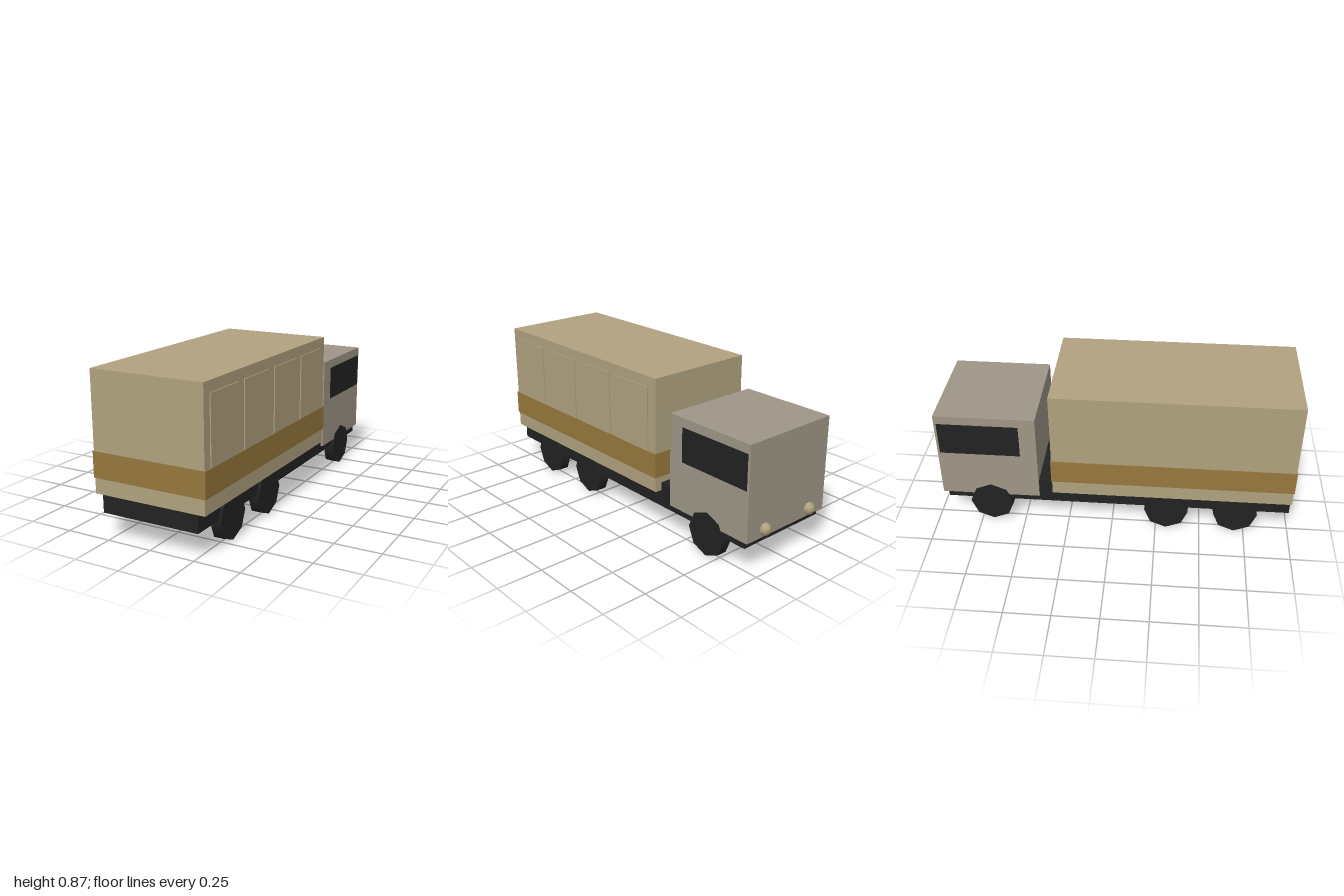
import * as THREE from 'three';

function mat(name, color) {
  const m = new THREE.MeshStandardMaterial({ color });
  m.name = name;
  return m;
}

export function createModel() {
  const truck = new THREE.Group();
  truck.name = 'truck';
  const tan = mat('tan', 0xb0a280);
  const brown = mat('brown', 0x96783d);
  const grey = mat('grey', 0x9e9687);
  const dark = mat('dark', 0x222222);

  const add = (name, geometry, material, x, y, z) => {
    const mesh = new THREE.Mesh(geometry, material);
    mesh.name = name;
    mesh.position.set(x, y, z);
    truck.add(mesh);
    return mesh;
  };
  // Box given by its limits along each axis
  const box = (name, material, [x0, x1], [y0, y1], [z0, z1]) =>
    add(name, new THREE.BoxGeometry(x1 - x0, y1 - y0, z1 - z0), material,
      (x0 + x1) / 2, (y0 + y1) / 2, (z0 + z1) / 2);

  // Chassis, cargo body and the band around it
  box('chassis', dark, [-0.276, 0.274], [0.14, 0.28], [-0.935, 0.994]);
  box('cargoBody', tan, [-0.317, 0.315], [0.235, 0.867], [-0.328, 0.996]);
  box('cargoBand', brown, [-0.322, 0.3215], [0.318, 0.455], [-0.332, 1]);

  // Raised panels on one side of the cargo body
  for (let i = 0; i < 4; i++) {
    const z = 0.815 - i * 0.318;
    box('sidePanel', tan, [0.313, 0.321], [0.4, 0.81], [z - 0.13, z + 0.13]);
  }

  // Cab with side windows
  box('cab', grey, [-0.289, 0.287], [0.18, 0.7], [-0.961, -0.41]);
  for (const x of [-0.289, 0.287])
    box('sideWindow', dark, [x - 0.004, x + 0.004], [0.46, 0.65], [-0.947, -0.503]);

  // Headlamps
  const lamp = new THREE.SphereGeometry(0.034, 8, 6);
  for (const x of [-0.168, 0.165]) add('headlamp', lamp, tan, x, 0.223, -0.966);

  // Three pairs of eight-sided wheels
  const wheel = new THREE.CylinderGeometry(0.123, 0.123, 0.059, 8).rotateZ(Math.PI / 2);
  for (const z of [0.695, 0.308, -0.684])
    for (const x of [-0.263, 0.261]) add('wheel', wheel, dark, x, 0.123, z);

  return truck;
}
